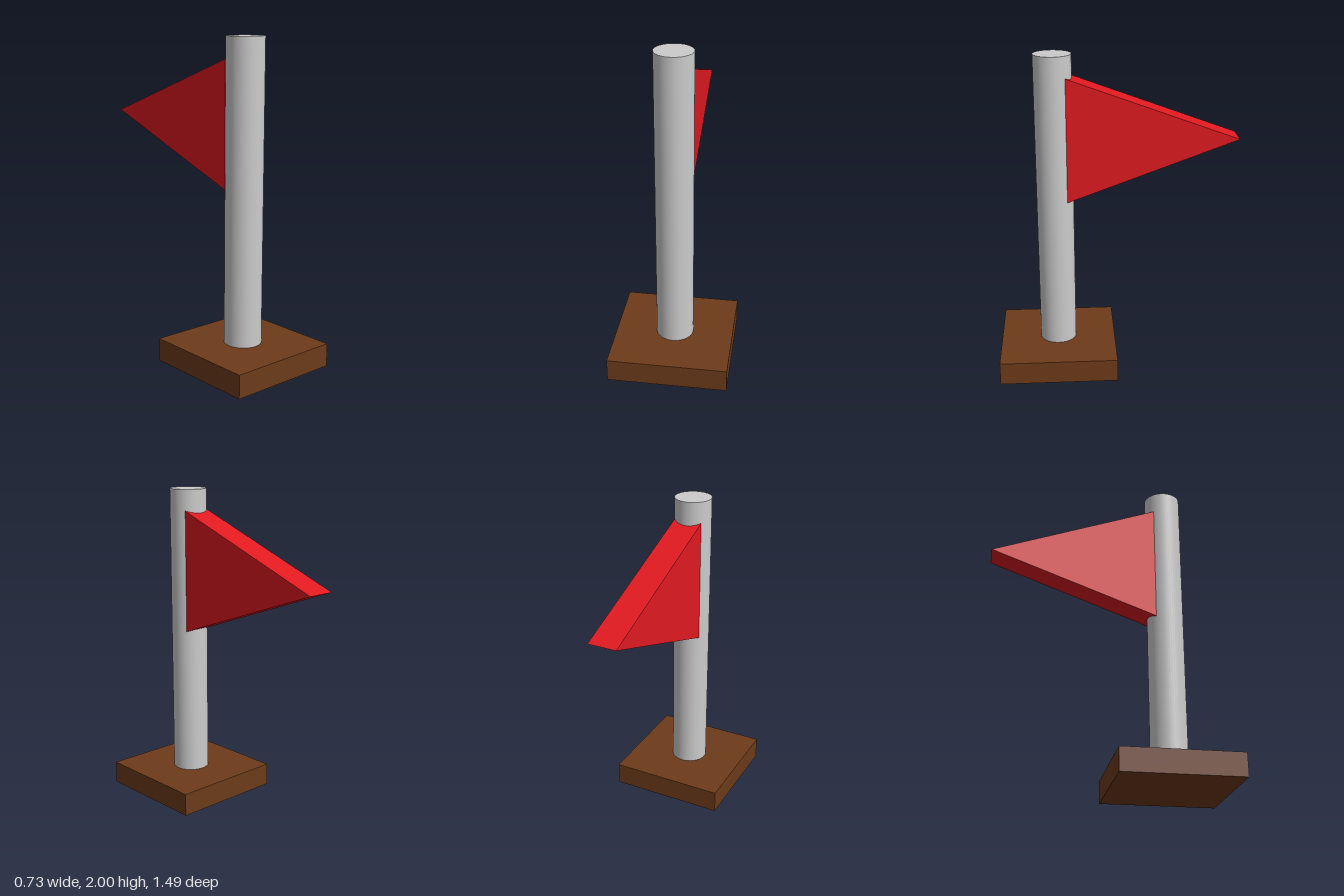
import * as THREE from 'three';

const POLE_Z = 0.38;

function part(name, geometry, color) {
  const mesh = new THREE.Mesh(geometry, new THREE.MeshStandardMaterial({ color }));
  mesh.name = name;
  return mesh;
}

export function createModel() {
  const group = new THREE.Group();
  group.name = 'flagOnPole';

  // Square base slab
  const base = part('base', new THREE.BoxGeometry(0.73, 0.144, 0.734), 0x6d3b1a);
  base.position.set(0, 0.072, POLE_Z);

  // Round pole, standing on the ground through the base
  const pole = part('pole', new THREE.CylinderGeometry(0.115, 0.115, 1.99, 48), 0xcccccc);
  pole.position.set(0, 1.005, POLE_Z);

  // Thick triangular pennant, drawn in profile and turned to point backwards
  const profile = new THREE.Shape([
    new THREE.Vector2(-0.305, 1.097),
    new THREE.Vector2(0.745, 1.483),
    new THREE.Vector2(-0.305, 1.867),
  ]);
  const pennant = new THREE.ExtrudeGeometry(profile, { depth: 0.18, bevelEnabled: false });
  pennant.translate(0, 0, -0.09).rotateY(Math.PI / 2);

  group.add(base, pole, part('flag', pennant, 0xe11920));
  return group;
}
